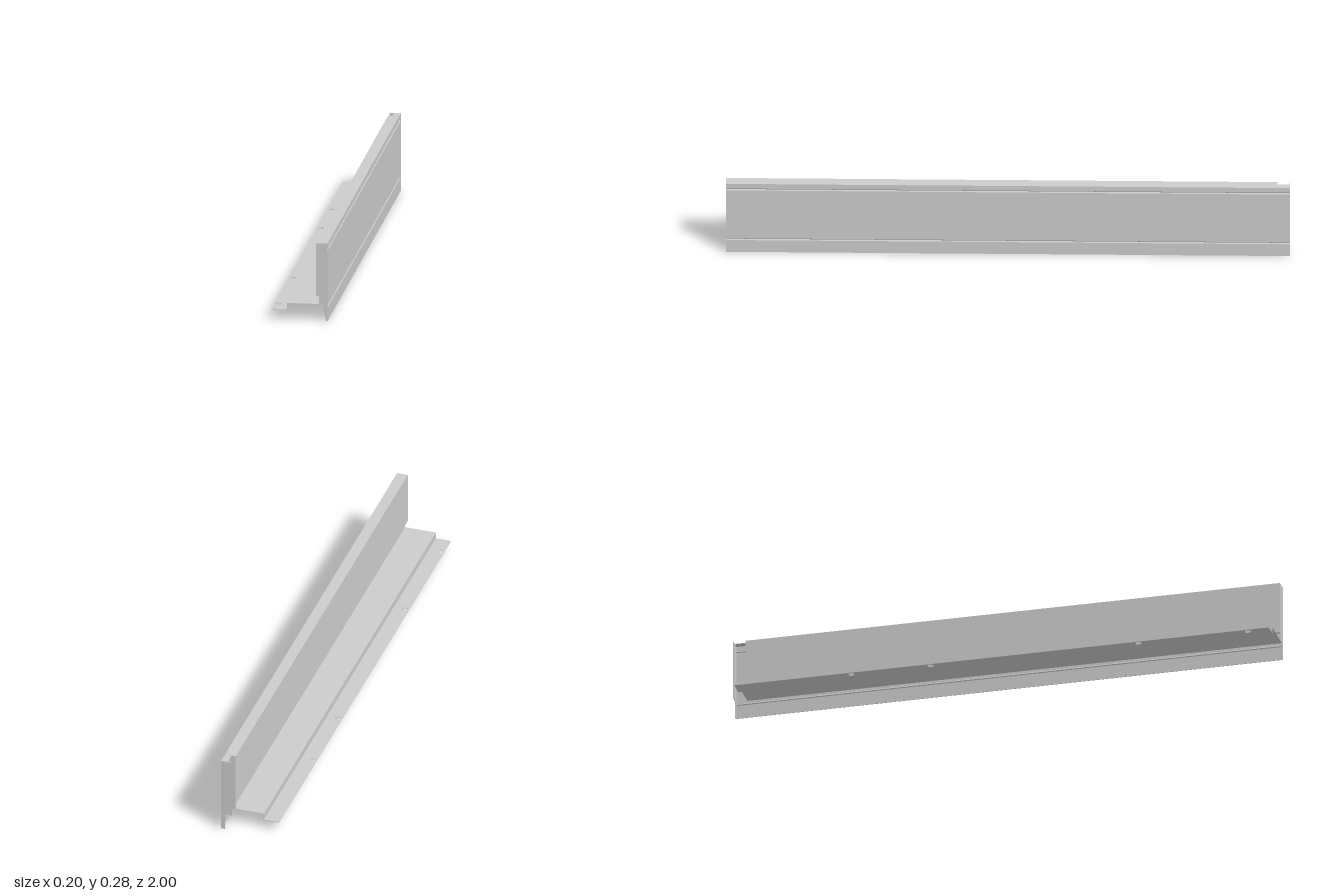
import * as THREE from 'three';

const material = new THREE.MeshStandardMaterial({ color: 0xcccccc, side: THREE.DoubleSide });
const T = 0.002; // sheet thickness
const FRONT = 1, BACK = -1, BODY_BACK = -0.955;
const TOP = 0.283, SHELF = 0.062, LEDGE = 0.038;
const OUT = 0.1, INNER = 0.06;

const toShape = (pts) => new THREE.Shape(pts.map(([x, y]) => new THREE.Vector2(x, y)));

// Extrude an x-y outline from z0 to z1
function prism(name, outline, z0, z1) {
  const geo = new THREE.ExtrudeGeometry(toShape(outline), { depth: z1 - z0, bevelEnabled: false });
  geo.translate(0, 0, z0);
  const mesh = new THREE.Mesh(geo, material);
  mesh.name = name;
  return mesh;
}

// Thicken an open polyline to its right-hand side, with mitred corners
function ribbon(pts, t = T) {
  const p = pts.map(([x, y]) => new THREE.Vector2(x, y));
  const normal = (a, b) => {
    const d = b.clone().sub(a).normalize();
    return new THREE.Vector2(d.y, -d.x);
  };
  const offset = p.map((q, i) => {
    const n0 = normal(p[Math.max(i - 1, 0)], p[Math.max(i, 1)]);
    const last = p.length - 1;
    const n1 = normal(p[Math.min(i, last - 1)], p[Math.min(i + 1, last)]);
    const m = n0.clone().add(n1).multiplyScalar(t / (1 + n0.dot(n1)));
    return [q.x + m.x, q.y + m.y];
  });
  return [...pts, ...offset.reverse()];
}

export function createModel() {
  const model = new THREE.Group();
  model.name = 'sheetMetalRail';

  // Outer face with two shallow pressed grooves
  const groove = (y) => [[OUT, y + 0.004], [OUT - 0.003, y], [OUT, y - 0.004]];
  const face = [[OUT, TOP], ...groove(0.26), ...groove(0.053), [OUT, 0]];
  model.add(prism('outerFace', ribbon(face.reverse().map(([x, y]) => [x, y])).map(
    // mirror the thickness so it lies inside the outer face
    ([x, y], i) => (i < face.length ? [x, y] : [x - 2 * T, y])), BACK, FRONT));

  // Top flange, notched at the back
  model.add(prism('topFlange',
    [[INNER, TOP - T], [OUT, TOP - T], [OUT, TOP], [INNER, TOP]], BODY_BACK, FRONT));
  model.add(prism('topFlangeTongue',
    [[0.076, TOP - T], [OUT, TOP - T], [OUT, TOP], [0.076, TOP]], BACK, BODY_BACK));

  // Inner wall, stepping back above the shelf
  model.add(prism('innerWall',
    ribbon([[0.07, SHELF], [0.07, 0.09], [INNER, 0.09], [INNER, TOP]]), BODY_BACK, FRONT));

  // Shelf and its step down to the fixing flange
  model.add(prism('shelf',
    ribbon([[-0.045, LEDGE - T], [-0.045, SHELF], [0.087, SHELF]]), BODY_BACK, FRONT));

  // Fixing flange with screw holes
  const plan = toShape([[-0.101, BODY_BACK], [-0.044, BODY_BACK], [-0.044, FRONT], [-0.101, FRONT]]);
  for (const z of [-0.53, -0.24, 0.52, 0.92]) {
    plan.holes.push(new THREE.Path().absarc(-0.086, z, 0.011, 0, Math.PI * 2, true));
  }
  const flangeGeo = new THREE.ExtrudeGeometry(plan, { depth: T, bevelEnabled: false, curveSegments: 16 });
  flangeGeo.rotateX(Math.PI / 2).translate(0, LEDGE, 0);
  const flange = new THREE.Mesh(flangeGeo, material);
  flange.name = 'fixingFlange';
  model.add(flange);

  // Front end plate with a tapered tab below
  model.add(prism('frontEndPlate', [
    [INNER, TOP], [INNER, 0.09], [0.07, 0.09], [0.07, SHELF], [0.088, SHELF],
    [0.088, 0.025], [0.095, 0.002], [0.097, 0], [OUT, 0], [OUT, TOP],
  ], FRONT - T, FRONT));

  // Narrow return at the back of the inner wall
  model.add(prism('innerReturn',
    [[INNER, SHELF], [0.079, SHELF], [0.079, TOP], [INNER, TOP]], BODY_BACK, BODY_BACK + T));

  // Back lip folded from the outer face
  model.add(prism('backLip', [
    [INNER, TOP], [INNER, SHELF], [0.085, SHELF], [0.085, 0], [OUT, 0], [OUT, TOP],
  ], BACK, BACK + T));

  return model;
}
